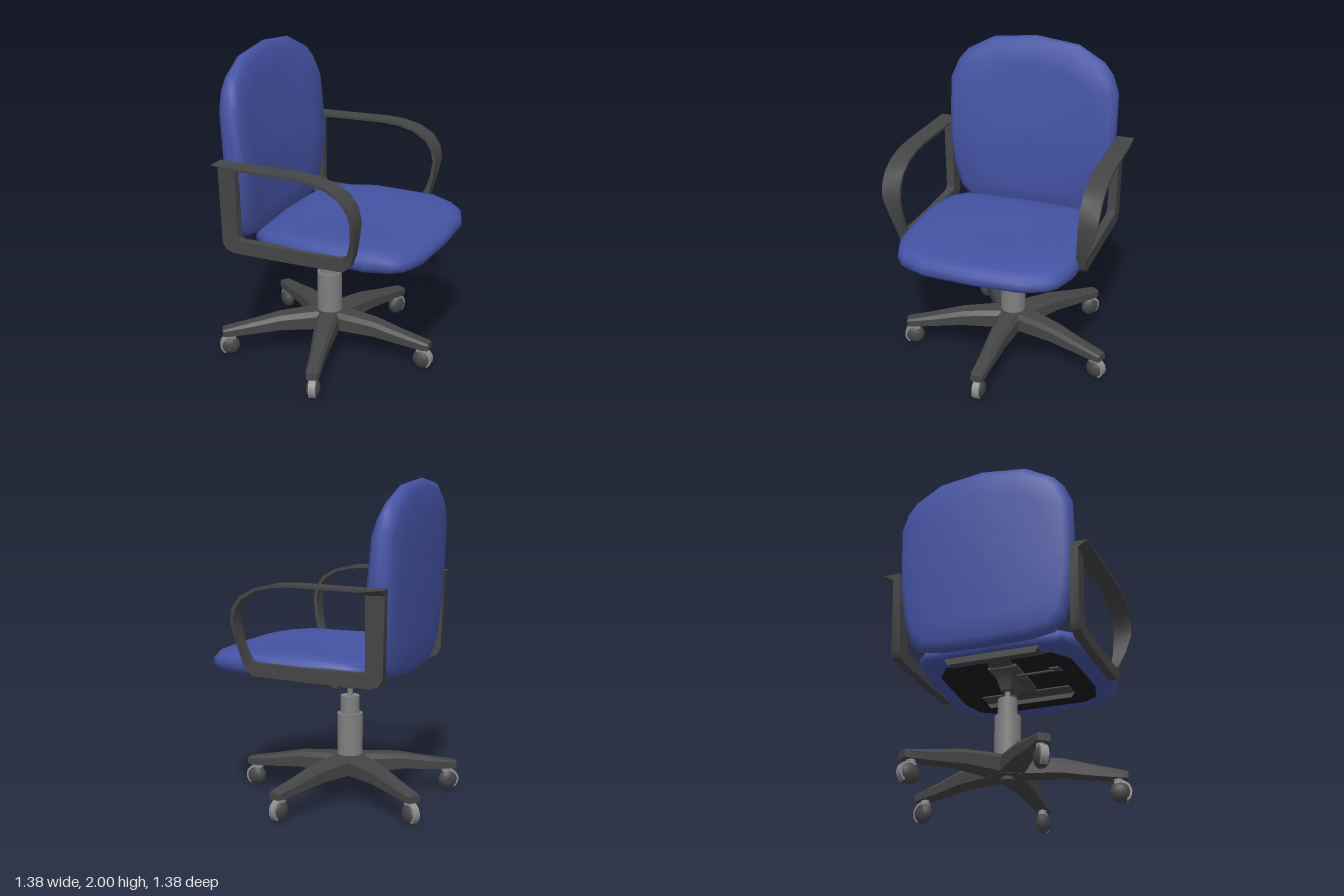
import * as THREE from 'three';
import { toCreasedNormals } from 'three/addons/utils/BufferGeometryUtils.js';

const paint = (color) => new THREE.MeshStandardMaterial({ color });
const blue = paint(0x4453a4), dark = paint(0x454545), black = paint(0x1c1c1c);
const steel = paint(0x808080), light = paint(0x8c8c8c);

function add(parent, name, geometry, material, x = 0, y = 0, z = 0) {
  const mesh = new THREE.Mesh(geometry, material);
  mesh.name = name;
  mesh.position.set(x, y, z);
  parent.add(mesh);
  return mesh;
}

// Skins a row of equal cross-sections; ends are capped unless the row is a closed loop
function loft(rings, closed = false, crease = 0.6) {
  const n = rings[0].length, m = rings.length;
  const pos = rings.flat(2), index = [];
  for (let i = 0; i < (closed ? m : m - 1); i++) {
    for (let j = 0; j < n; j++) {
      const a = i * n + j, b = i * n + (j + 1) % n;
      const c = ((i + 1) % m) * n + j, d = ((i + 1) % m) * n + (j + 1) % n;
      index.push(a, b, d, a, d, c);
    }
  }
  if (!closed) {
    const last = (m - 1) * n;
    for (let j = 1; j < n - 1; j++) index.push(0, j + 1, j, last, last + j, last + j + 1);
  }
  // turn the faces outward if the enclosed volume is negative
  const p = (i) => new THREE.Vector3().fromArray(pos, i * 3);
  let volume = 0;
  for (let i = 0; i < index.length; i += 3) {
    volume += p(index[i]).dot(p(index[i + 1]).cross(p(index[i + 2])));
  }
  if (volume < 0) index.reverse();
  const g = new THREE.BufferGeometry();
  g.setAttribute('position', new THREE.Float32BufferAttribute(pos, 3));
  g.setIndex(index);
  return toCreasedNormals(g, crease);
}

// Linear look-up in a table of [key, value]
function lookup(table, k) {
  for (let i = 1; i < table.length; i++) {
    const [k0, v0] = table[i - 1], [k1, v1] = table[i];
    if (k <= k1) return v0 + (v1 - v0) * Math.max(0, (k - k0) / (k1 - k0));
  }
  return table[table.length - 1][1];
}

// Half outline [along, side], mirrored to a full loop
const mirrored = (half) => [...half, ...half.slice(1, -1).reverse().map(([u, s]) => [u, -s])];

function seatGeometry() {
  const outline = mirrored([[0.685, 0], [0.67, 0.31], [0.615, 0.455], [0.55, 0.51], [0.405, 0.56],
    [-0.03, 0.56], [-0.28, 0.51], [-0.385, 0.43], [-0.4, 0.3], [-0.42, 0]]);
  const levels = [[0.02, 0.845], [0.88, 0.842], [0.96, 0.855], [1, 0.89], [0.99, 0.935],
    [0.95, 0.965], [0.86, 0.98], [0.6, 0.972], [0.3, 0.962], [0.02, 0.958]];
  const drop = [[-0.42, -0.045], [-0.3, -0.025], [0, 0], [0.4, 0], [0.69, -0.03]];
  return loft(levels.map(([s, y]) => outline.map(([u, z]) => {
    const x = 0.13 + (u - 0.13) * s;
    return [x, y + lookup(drop, x) * Math.max(0, (y - 0.842) / 0.138), z * s];
  })), false, 1.2);
}

function backrestGeometry() {
  const outline = mirrored([[2, 0], [1.97, 0.28], [1.88, 0.45], [1.81, 0.51], [1.7, 0.555],
    [1.3, 0.555], [1.1, 0.53], [0.95, 0.49], [0.87, 0.42], [0.84, 0.28], [0.83, 0]]);
  const rear = [[0.83, -0.53], [1, -0.55], [1.4, -0.58], [1.8, -0.595], [2, -0.585]];
  const front = [[0.83, -0.45], [1.1, -0.43], [1.35, -0.42], [1.7, -0.46], [2, -0.51]];
  const levels = [[0.02, 0], [0.35, 0], [0.7, 0], [0.91, 0], [0.975, 0.15], [1, 0.45],
    [0.985, 0.78], [0.93, 1], [0.7, 1], [0.35, 1], [0.02, 1]];
  return loft(levels.map(([s, t]) => outline.map(([v, side]) => {
    const y = 1.42 + (v - 1.42) * s, z = side * s;
    const wrap = 0.035 * (z / 0.55) ** 2;
    return [THREE.MathUtils.lerp(lookup(rear, y), lookup(front, y), t) + wrap, y, z];
  })), false, 1.2);
}

// Closed armrest band: outer x, y, inner x, y, then near and far side z
function armrestGeometry(side) {
  const sections = [
    [-0.54, 1.397, -0.42, 1.38, 0.545, 0.655], [-0.41, 1.399, -0.41, 1.382, 0.545, 0.66],
    [0, 1.412, 0, 1.394, 0.556, 0.67], [0.12, 1.405, 0.115, 1.388, 0.557, 0.674],
    [0.23, 1.38, 0.22, 1.363, 0.558, 0.677], [0.32, 1.33, 0.305, 1.315, 0.558, 0.678],
    [0.37, 1.26, 0.35, 1.25, 0.558, 0.677], [0.387, 1.18, 0.366, 1.18, 0.555, 0.67],
    [0.375, 1.07, 0.35, 1.07, 0.55, 0.635], [0.355, 0.97, 0.322, 0.985, 0.543, 0.605],
    [0.335, 0.895, 0.3, 0.945, 0.538, 0.592], [0.28, 0.85, 0.25, 0.93, 0.535, 0.588],
    [-0.1, 0.835, -0.1, 0.917, 0.532, 0.585], [-0.45, 0.828, -0.395, 0.912, 0.53, 0.585],
    [-0.5, 0.845, -0.415, 0.922, 0.53, 0.585], [-0.525, 0.885, -0.42, 0.95, 0.53, 0.585],
    [-0.535, 1.36, -0.42, 1.36, 0.54, 0.59]];
  return loft(sections.map(([ox, oy, ix, iy, near, far]) =>
    [[ox, oy, near * side], [ox, oy, far * side], [ix, iy, far * side], [ix, iy, near * side]]), true);
}

// Base leg along +x: radius, top half width, lower half width, top y, shoulder y, bottom y
function legGeometry() {
  const sections = [[0.02, 0.05, 0.075, 0.28, 0.25, 0.16], [0.16, 0.045, 0.07, 0.275, 0.245, 0.165],
    [0.33, 0.038, 0.058, 0.262, 0.235, 0.168], [0.52, 0.03, 0.046, 0.222, 0.2, 0.15],
    [0.67, 0.03, 0.042, 0.192, 0.18, 0.14], [0.702, 0.026, 0.035, 0.185, 0.175, 0.14]];
  return loft(sections.map(([r, a, b, top, mid, low]) =>
    [[r, top, -a], [r, top, a], [r, mid, b], [r, low, b], [r, low, -b], [r, mid, -b]]), false, 0.35);
}

export function createModel() {
  const chair = new THREE.Group();
  chair.name = 'officeChair';

  // Cushions and underside panel
  add(chair, 'seat', seatGeometry(), blue);
  add(chair, 'backrest', backrestGeometry(), blue);
  const panel = new THREE.Shape([[0.52, -0.3], [0.46, -0.4], [0.3, -0.44], [-0.15, -0.42], [-0.28, -0.33],
    [-0.28, 0.33], [-0.15, 0.42], [0.3, 0.44], [0.46, 0.4], [0.52, 0.3]].map(([x, z]) => new THREE.Vector2(x, z)));
  add(chair, 'seatPan', new THREE.ExtrudeGeometry(panel, { depth: 0.006, bevelEnabled: false })
    .rotateX(Math.PI / 2), black, 0, 0.843, 0);

  // Armrests
  add(chair, 'leftArmrest', armrestGeometry(-1), dark);
  add(chair, 'rightArmrest', armrestGeometry(1), dark);

  // Tilt mechanism under the seat
  const mechanism = new THREE.Group();
  mechanism.name = 'mechanism';
  chair.add(mechanism);
  const slab = (x0, x1, y, w) => [[x0, y, -w], [x1, y, -w], [x1, y, w], [x0, y, w]];
  add(mechanism, 'housing', loft([slab(-0.14, -0.06, 0.7, 0.03), slab(-0.15, 0.02, 0.735, 0.04),
    slab(-0.17, 0.1, 0.785, 0.05), slab(-0.2, 0.17, 0.82, 0.09), slab(-0.2, 0.17, 0.84, 0.09)]), dark);
  add(mechanism, 'spinePlate', new THREE.BoxGeometry(0.72, 0.012, 0.14), dark, -0.03, 0.834, 0);
  for (const [x, inward] of [[-0.39, 1], [0.33, -1]]) {
    add(mechanism, 'mountPlate', new THREE.BoxGeometry(0.11, 0.01, 0.58), dark, x + inward * 0.055, 0.834, 0);
    add(mechanism, 'mountLip', loft([slab(x - 0.003, x + 0.003, 0.8, 0.275),
      slab(x - 0.003, x + 0.003, 0.84, 0.3)]), dark);
  }
  add(mechanism, 'leverRod', new THREE.CylinderGeometry(0.008, 0.008, 0.34, 8).rotateX(Math.PI / 2),
    dark, -0.11, 0.797, 0.17);
  const paddle = (x, y, w, h) => [[x, y, 0.338 - w], [x, y, 0.338 + w], [x, y + h, 0.338 + w], [x, y + h, 0.338 - w]];
  add(mechanism, 'leverPaddle', loft([paddle(-0.09, 0.795, 0.01, 0.01), paddle(-0.17, 0.77, 0.018, 0.012),
    paddle(-0.25, 0.748, 0.03, 0.008)]), dark);
  add(mechanism, 'tensionKnob', new THREE.CylinderGeometry(0.022, 0.026, 0.09, 10), dark, -0.01, 0.735, 0)
    .rotation.z = 0.25;

  // Gas lift and five-legged base
  const base = new THREE.Group();
  base.name = 'base';
  base.position.x = -0.1;
  chair.add(base);
  const tube = (name, r, y0, y1, material, sides = 20) =>
    add(base, name, new THREE.CylinderGeometry(r, r, y1 - y0, sides), material, 0, (y0 + y1) / 2, 0);
  tube('hub', 0.1, 0.16, 0.278, dark, 10);
  tube('hubPin', 0.04, 0.14, 0.17, dark, 12);
  tube('outerColumn', 0.08, 0.27, 0.54, steel);
  tube('innerColumn', 0.06, 0.53, 0.652, steel);
  tube('pistonRod', 0.018, 0.64, 0.72, steel, 12);

  const leg = legGeometry();
  const wheel = new THREE.SphereGeometry(0.064, 12, 8).rotateX(Math.PI / 2).scale(1, 1, 0.7);
  const hood = new THREE.CylinderGeometry(0.066, 0.066, 0.044, 14, 1, false, 0, Math.PI).rotateX(Math.PI / 2)
    .rotateZ(0.6);
  const stem = new THREE.CylinderGeometry(0.026, 0.026, 0.07, 10);
  for (let i = 0; i < 5; i++) {
    const spoke = new THREE.Group();
    spoke.name = 'spoke';
    spoke.rotation.y = i * Math.PI * 2 / 5;
    base.add(spoke);
    add(spoke, 'leg', leg, dark);
    add(spoke, 'casterWheel', wheel, dark, 0.655, 0.064, 0);
    const cover = add(spoke, 'casterHood', hood, light, 0.655, 0.067, 0);
    cover.material.side = THREE.DoubleSide;
    add(spoke, 'casterStem', stem, light, 0.645, 0.122, 0);
  }
  return chair;
}
